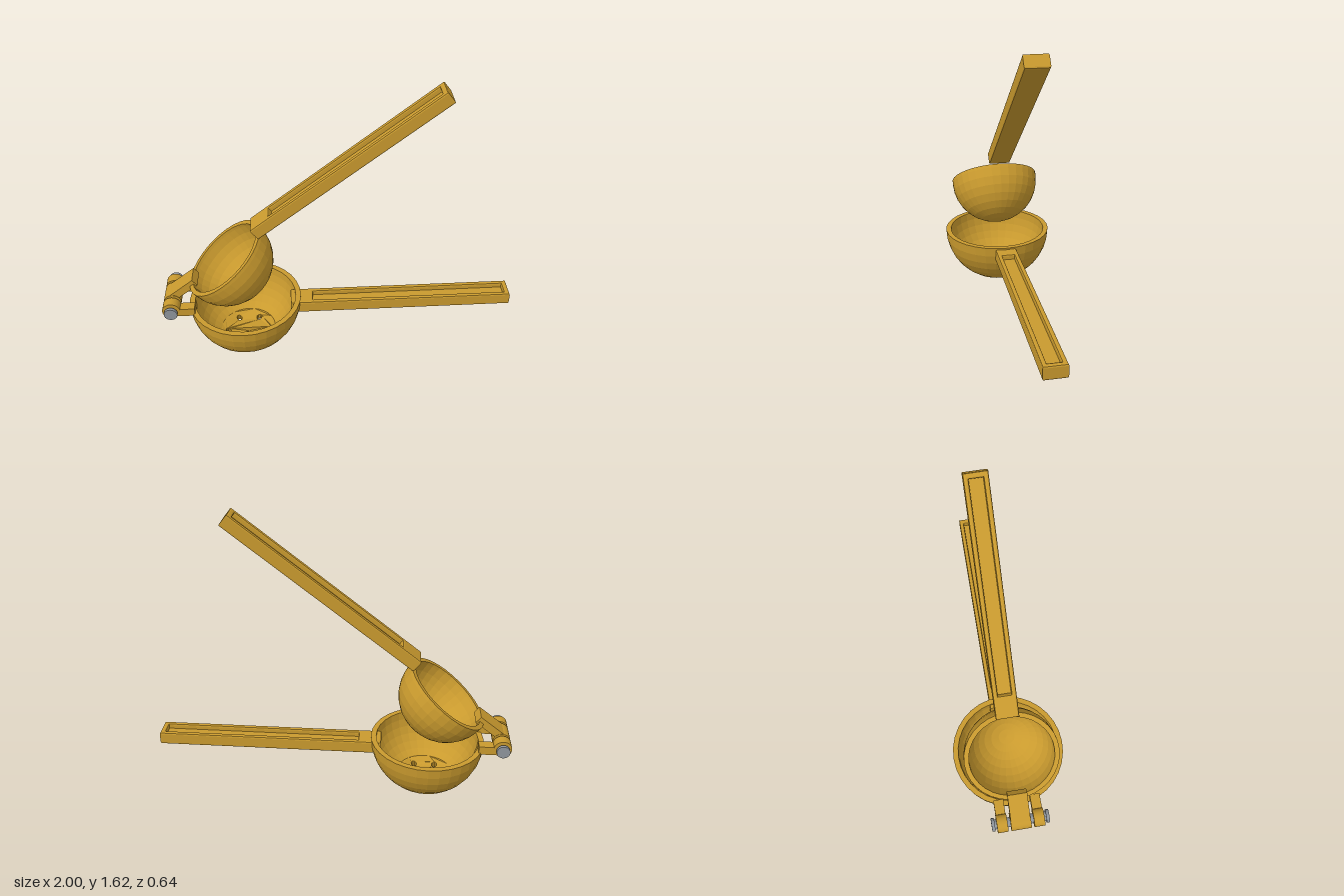
import * as THREE from 'three';

const SEG = 32;
const gold = new THREE.MeshStandardMaterial({ color: 0xc99a2e });
gold.name = 'gold enamel';
const steel = new THREE.MeshStandardMaterial({ color: 0x8f959c });
steel.name = 'steel';

function add(parent, name, geometry, material, x = 0, y = 0, z = 0) {
  const mesh = new THREE.Mesh(geometry, material);
  mesh.name = name;
  mesh.position.set(x, y, z);
  parent.add(mesh);
  return mesh;
}

// Facet a geometry by giving every triangle its own normal
function faceted(geometry) {
  const g = geometry.index ? geometry.toNonIndexed() : geometry;
  g.computeVertexNormals();
  return g;
}

// Double-walled hemisphere, open downwards below radius rMin, rim raised by lip
function bowlGeometry(rOut, rIn, rMin, lip, bands) {
  const points = [];
  const arc = (r, t) => {
    const start = Math.asin(rMin / r);
    const a = start + (Math.PI / 2 - start) * t;
    return new THREE.Vector2(r * Math.sin(a), -r * Math.cos(a));
  };
  for (let i = 0; i <= bands; i++) points.push(arc(rOut, i / bands));
  if (lip > 0) points.push(new THREE.Vector2(rOut, lip), new THREE.Vector2(rIn, lip));
  for (let i = bands; i >= 0; i--) points.push(arc(rIn, i / bands));
  return faceted(new THREE.LatheGeometry(points, SEG));
}

// Bowl bottom: a pierced disc bent onto the two spherical walls
function strainerGeometry(rOut, rIn, rCap) {
  const rim = [];
  for (let i = 0; i < SEG; i++) {
    const a = (i / SEG) * Math.PI * 2;
    rim.push(new THREE.Vector2(rCap * Math.cos(a), rCap * Math.sin(a)));
  }
  const shape = new THREE.Shape(rim);
  const hole = (x, y) => shape.holes.push(new THREE.Path().absarc(x, y, 0.016, 0, Math.PI * 2, true));
  hole(0, 0);
  for (let i = 0; i < 6; i++) {
    const a = (i * Math.PI) / 3;
    hole(0.12 * Math.cos(a), 0.12 * Math.sin(a));
  }
  const g = new THREE.ExtrudeGeometry(shape, { depth: 1, bevelEnabled: false, curveSegments: 5 });
  g.rotateX(-Math.PI / 2);
  const p = g.attributes.position;
  for (let i = 0; i < p.count; i++) {
    const r = p.getY(i) > 0.5 ? rIn : rOut;
    p.setY(i, -Math.sqrt(r * r - p.getX(i) ** 2 - p.getZ(i) ** 2));
  }
  return faceted(g);
}

function rectangle(path, x0, x1, w) {
  path.moveTo(x0, -w);
  path.lineTo(x1, -w);
  path.lineTo(x1, w);
  path.lineTo(x0, w);
  path.closePath();
  return path;
}

// Bevelled slab lying flat, optionally with a long slot
function slab(length, height, slot) {
  const b = 0.009;
  const shape = rectangle(new THREE.Shape(), b, length - b, 0.062 - b);
  if (slot) shape.holes.push(rectangle(new THREE.Path(), 0.13 - b, length - 0.03 + b, 0.036 + b));
  const g = new THREE.ExtrudeGeometry(shape, {
    depth: height - 2 * b, bevelThickness: b, bevelSize: b, bevelSegments: 2,
  });
  return g.translate(0, 0, b).rotateX(-Math.PI / 2);
}

// Handle: solid floor with a slotted frame above it
function addHandle(parent, name, length, x, y) {
  const handle = new THREE.Group();
  handle.name = name;
  handle.position.set(x, y, 0);
  add(handle, 'handleFloor', slab(length, 0.045, false), gold);
  add(handle, 'handleFrame', slab(length, 0.055, true), gold, 0, 0.02, 0);
  parent.add(handle);
}

function rod(r, length) {
  return new THREE.CylinderGeometry(r, r, length, 24).rotateX(Math.PI / 2);
}

export function createModel() {
  const model = new THREE.Group();
  model.name = 'citrusPress';

  // Lower half: strainer bowl, handle and two hinge ears
  const lower = new THREE.Group();
  lower.name = 'lowerHalf';
  add(lower, 'lowerBowl', bowlGeometry(0.32, 0.29, 0.16, 0, 6), gold, -0.54, 0.32, 0);
  add(lower, 'strainerBottom', strainerGeometry(0.32, 0.29, 0.16), gold, -0.54, 0.32, 0);
  addHandle(lower, 'lowerHandle', 1.28, -0.28, 0.235);
  for (const side of [-1, 1]) {
    add(lower, 'hingeEar', new THREE.BoxGeometry(0.13, 0.05, 0.056), gold, -0.885, 0.335, side * 0.104);
    add(lower, 'earBarrel', rod(0.05, 0.06), gold, -0.95, 0.35, side * 0.104);
  }
  model.add(lower);

  // Upper half: pressing cup, arm and handle, swung open about the hinge
  const upper = new THREE.Group();
  upper.name = 'upperHalf';
  upper.position.set(-0.95, 0.35, 0);
  upper.rotation.z = THREE.MathUtils.degToRad(38.1);
  add(upper, 'pressingCup', bowlGeometry(0.262, 0.235, 0, 0.02, 8), gold, 0.41, 0, 0);
  add(upper, 'hingeArm', new THREE.BoxGeometry(0.19, 0.045, 0.11), gold, 0.098, 0.022, 0);
  add(upper, 'armBarrel', rod(0.05, 0.114), gold);
  addHandle(upper, 'upperHandle', 1.275, 0.67, 0.02);
  model.add(upper);

  // Hinge pin with a head at each end
  const pin = new THREE.Group();
  pin.name = 'hingePin';
  pin.position.set(-0.95, 0.35, 0);
  add(pin, 'pinShaft', rod(0.027, 0.31), steel);
  for (const side of [-1, 1]) add(pin, 'pinHead', rod(0.037, 0.018), steel, 0, 0, side * 0.154);
  model.add(pin);

  return model;
}
